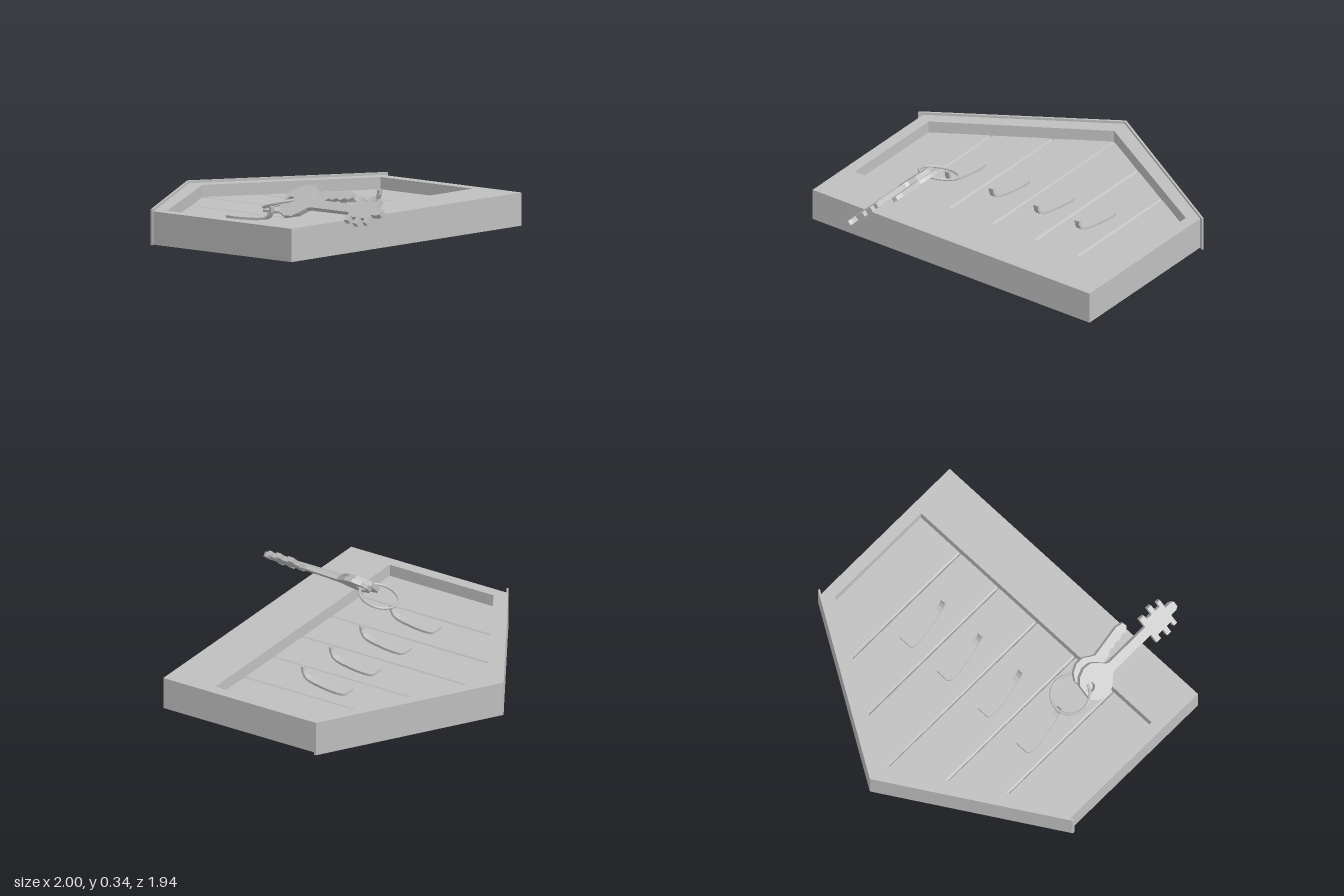
import * as THREE from 'three';

const grey = new THREE.MeshStandardMaterial({ color: 0xbfbfbf });
grey.name = 'grey';

const toShape = (pts) => new THREE.Shape(pts.map(([x, y]) => new THREE.Vector2(x, y)));
const plan = (pts) => toShape(pts.map(([x, z]) => [x, -z]));

function add(parent, name, geometry) {
  const mesh = new THREE.Mesh(geometry, grey);
  mesh.name = name;
  parent.add(mesh);
  return mesh;
}

// Extrude an x/z outline upward from y0 to y1
function slab(shape, y0, y1, bevel = 0) {
  const g = new THREE.ExtrudeGeometry(shape, {
    depth: y1 - y0 - 2 * bevel, bevelEnabled: bevel > 0, bevelSize: bevel,
    bevelThickness: bevel, bevelOffset: -bevel, bevelSegments: 1, curveSegments: 10,
  });
  return g.rotateX(-Math.PI / 2).translate(0, y0 + bevel, 0);
}

// Loft rectangular sections [z, y, halfWidth, normalZ, normalY] into a bent strip
function strip(sections, thick) {
  const pos = [], idx = [];
  sections.forEach(([z, y, w, nz, ny]) => {
    const t = thick / 2;
    for (const [sx, sn] of [[-1, 1], [1, 1], [1, -1], [-1, -1]])
      pos.push(sx * w, y + sn * ny * t, z + sn * nz * t);
  });
  const quad = (a, b, c, d) => idx.push(a, b, c, a, c, d);
  for (let i = 0; i < sections.length - 1; i++)
    for (let k = 0; k < 4; k++) {
      const a = i * 4 + k, b = i * 4 + (k + 1) % 4;
      quad(a, a + 4, b + 4, b);
    }
  const e = (sections.length - 1) * 4;
  quad(0, 1, 2, 3);
  quad(e + 3, e + 2, e + 1, e);
  const g = new THREE.BufferGeometry();
  g.setAttribute('position', new THREE.Float32BufferAttribute(pos, 3));
  g.setIndex(idx);
  const flat = g.toNonIndexed();
  flat.computeVertexNormals();
  return flat;
}

// Flat key cut from an outline, with a hole in its bow
function keyGeometry(outline, holeX, holeY, thick) {
  const s = toShape(outline);
  s.holes.push(new THREE.Path().absarc(holeX, holeY, 0.03, 0, Math.PI * 2, true));
  return new THREE.ExtrudeGeometry(s, { depth: thick, bevelEnabled: false, curveSegments: 8 })
    .translate(0, 0, -thick / 2);
}

export function createModel() {
  const model = new THREE.Group();
  model.name = 'keyHolder';

  // House-shaped frame with a recess
  const inner = [[-0.905, 0.385], [0.905, 0.385], [0.905, -0.315], [0, -0.855], [-0.905, -0.315]];
  const frame = plan([[-0.975, 0.69], [0.975, 0.69], [0.975, -0.36], [0, -0.955], [-0.975, -0.36]]);
  frame.holes.push(new THREE.Path(inner.map(([x, z]) => new THREE.Vector2(x, -z))));
  add(model, 'frame', slab(frame, 0, 0.19));
  add(model, 'backBoard', slab(plan(inner), 0, 0.108));

  // Thin roof strips overhanging the sides
  add(model, 'roof', slab(plan([[-1, -0.355], [-1, -0.342], [0, -0.955], [1, -0.342],
    [1, -0.355], [0, -0.97]]), 0, 0.205));

  // Planks with chamfered edges that form the grooves
  const roofZ = (x) => -0.865 + 0.597 * Math.abs(x);
  const edges = [-0.915, -0.6, -0.3, 0, 0.3, 0.6, 0.915];
  for (let i = 0; i < 6; i++) {
    const [a, b] = [edges[i], edges[i + 1]];
    add(model, 'plank', slab(plan([[a, 0.395], [b, 0.395], [b, roofZ(b)], [a, roofZ(a)]]), 0.096, 0.12, 0.01));
  }

  // Tapered hooks bent upward at the front
  const hook = strip([
    [-0.22, 0.127, 0.04, 0, 1], [-0.205, 0.127, 0.052, 0, 1], [-0.17, 0.127, 0.056, 0, 1],
    [-0.1, 0.127, 0.049, 0, 1], [0, 0.129, 0.029, -0.1, 1], [0.045, 0.135, 0.021, -0.35, 0.93],
    [0.072, 0.15, 0.017, -0.75, 0.66], [0.087, 0.175, 0.015, -0.97, 0.24], [0.092, 0.205, 0.015, -1, 0.1],
  ], 0.014);
  for (const x of [-0.47, -0.16, 0.155, 0.445]) add(model, 'hook', hook).position.x = x;

  // Key ring leaning on the first hook
  const ring = add(model, 'keyRing', new THREE.TorusGeometry(0.113, 0.008, 8, 32));
  ring.rotation.x = Math.PI / 2 - 0.28;
  ring.position.set(-0.47, 0.235, 0.175);

  // Keys lie along +z, with their blades tilted sideways
  const tilt = 0.72, c = Math.cos(tilt), s = Math.sin(tilt);
  function placeKey(name, geometry, x, y, z, turn) {
    const holder = new THREE.Group();
    holder.name = name;
    holder.position.set(x, y, z);
    holder.quaternion.setFromRotationMatrix(new THREE.Matrix4().makeBasis(
      new THREE.Vector3(c, s, 0), new THREE.Vector3(0, 0, 1), new THREE.Vector3(s, -c, 0)));
    add(holder, name + 'Blade', geometry).rotation.z = -turn;
    model.add(holder);
  }

  // Long key with bits on both sides
  const half = [[0.05, -0.09], [0.09, -0.06], [0.113, -0.01], [0.108, 0.04], [0.08, 0.075], [0.04, 0.11],
    [0.03, 0.13], [0.03, 0.425], [0.09, 0.425], [0.09, 0.46], [0.06, 0.46], [0.06, 0.5], [0.105, 0.5],
    [0.105, 0.53], [0.06, 0.53], [0.06, 0.565], [0.09, 0.565], [0.09, 0.59], [0.03, 0.59],
    [0.03, 0.63], [0.018, 0.65]];
  const mirrored = half.map(([x, y]) => [-x, y]).reverse();
  placeKey('longKey', keyGeometry([...half, ...mirrored], 0, -0.045, 0.028), -0.52, 0.255, 0.322, 0);

  // Short key with one notched edge
  const short = [[0.04, -0.09], [0.08, -0.06], [0.1, -0.01], [0.09, 0.04], [0.06, 0.07], [0.035, 0.1],
    [0.035, 0.3], [0.015, 0.345], [-0.015, 0.345], [-0.035, 0.315], [-0.02, 0.29], [-0.035, 0.26],
    [-0.018, 0.235], [-0.03, 0.205], [-0.018, 0.18], [-0.035, 0.15], [-0.035, 0.1], [-0.06, 0.07],
    [-0.09, 0.04], [-0.1, -0.01], [-0.08, -0.06], [-0.04, -0.09]];
  placeKey('shortKey', keyGeometry(short, 0, -0.045, 0.024), -0.46, 0.272, 0.33, 0.18);

  return model;
}
